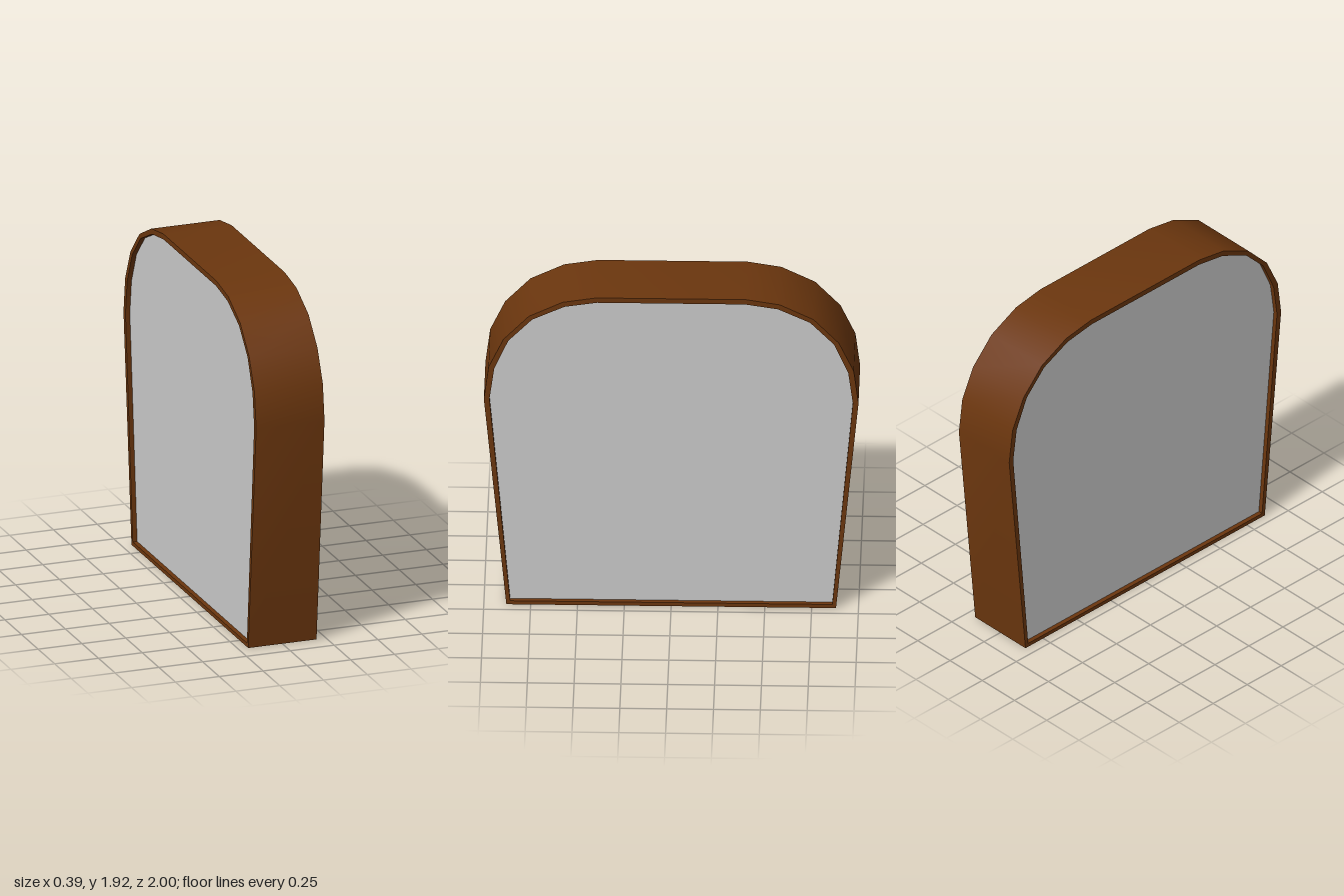
import * as THREE from 'three';
import { toCreasedNormals } from 'three/addons/utils/BufferGeometryUtils.js';

const WIDTH = 0.39;   // slice thickness along x
const RECESS = 0.025; // how far the crumb sits behind the crust edge

// half profiles as [z, y], from the bottom corner up to the flat top
const OUTER = [[0.88, 0], [1, 1.28], [0.975, 1.48], [0.895, 1.655], [0.76, 1.8], [0.58, 1.89], [0.4, 1.92]];
const INNER = [[0.86, 0.022], [0.97, 1.28], [0.945, 1.47], [0.87, 1.645], [0.742, 1.78], [0.57, 1.862], [0.395, 1.89]];

// mirror a half profile into a closed outline
function outline(half) {
  const mirrored = half.map(([z, y]) => [-z, y]).reverse();
  return [...half, ...mirrored].map(([z, y]) => new THREE.Vector2(z, y));
}

// extrude along x, centred, keeping the bottom corners sharp
function slab(shape, depth) {
  const geo = new THREE.ExtrudeGeometry(shape, { depth, bevelEnabled: false });
  geo.translate(0, 0, -depth / 2);
  geo.rotateY(Math.PI / 2);
  return toCreasedNormals(geo, Math.PI / 5);
}

export function createModel() {
  const group = new THREE.Group();
  group.name = 'breadSlice';

  // brown crust: a closed band around the slice
  const crustShape = new THREE.Shape(outline(OUTER));
  crustShape.holes.push(new THREE.Path(outline(INNER)));
  const crust = new THREE.Mesh(slab(crustShape, WIDTH), new THREE.MeshStandardMaterial({ color: 0x6b360e }));
  crust.name = 'crust';

  // crumb: fills the band, slightly sunk on both sides
  const crumb = new THREE.Mesh(
    slab(new THREE.Shape(outline(INNER)), WIDTH - 2 * RECESS),
    new THREE.MeshStandardMaterial({ color: 0xcccccc })
  );
  crumb.name = 'crumb';

  group.add(crust, crumb);
  return group;
}
